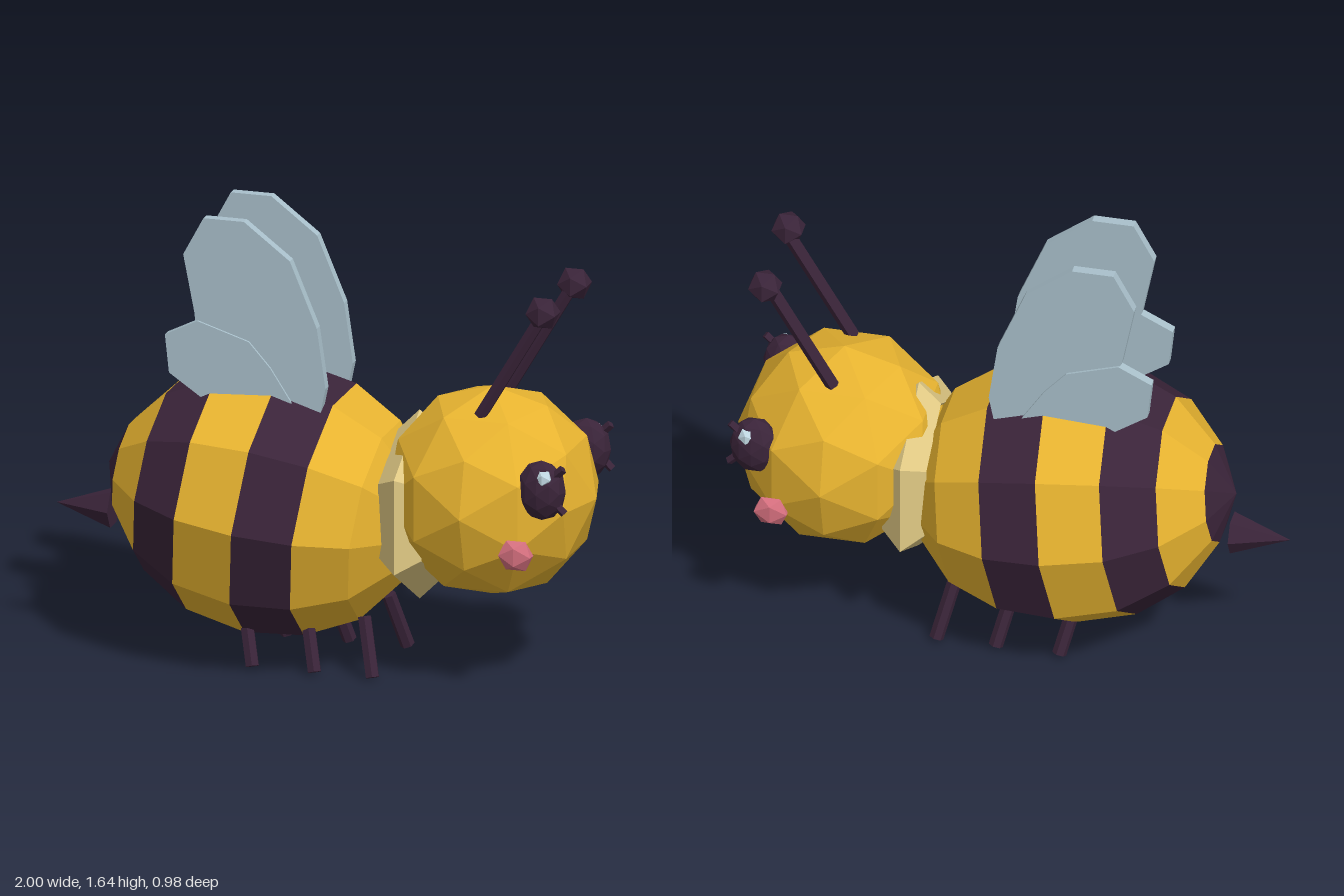
import * as THREE from 'three';

const mat = (name, color) => {
  const m = new THREE.MeshStandardMaterial({ color, flatShading: true });
  m.name = name;
  return m;
};

export function createModel() {
  const yellow = mat('honey yellow', 0xe8b430);
  const dark = mat('dark plum', 0x3a2439);
  const cream = mat('cream', 0xe0c984);
  const pink = mat('pink', 0xd6707f);
  const wingBlue = mat('wing blue', 0xa9c0cb);
  const glint = mat('eye glint', 0xc0d8e2);

  const bee = new THREE.Group();
  bee.name = 'bee';

  const add = (parent, name, geometry, material, x = 0, y = 0, z = 0) => {
    const mesh = new THREE.Mesh(geometry, material);
    mesh.name = name;
    mesh.position.set(x, y, z);
    parent.add(mesh);
    return mesh;
  };

  // Straight round rod between two points
  const rod = (parent, name, a, b, radius, sides, material) => {
    const from = new THREE.Vector3(...a), to = new THREE.Vector3(...b);
    const dir = to.clone().sub(from);
    const mesh = add(parent, name, new THREE.CylinderGeometry(radius, radius, dir.length(), sides), material);
    mesh.position.copy(from).add(to).multiplyScalar(0.5);
    mesh.quaternion.setFromUnitVectors(new THREE.Vector3(0, 1, 0), dir.normalize());
    return mesh;
  };

  // Striped body: one ten-sided band per ring, [along, radius]
  const body = new THREE.Group();
  body.name = 'body';
  body.position.set(-0.2, 0.575, 0);
  body.rotation.z = -0.123;
  bee.add(body);
  const rings = [[-0.61, 0], [-0.54, 0.18], [-0.405, 0.35], [-0.225, 0.453], [0, 0.488],
    [0.215, 0.455], [0.4, 0.36], [0.53, 0.19], [0.58, 0]];
  for (let i = 0; i < rings.length - 1; i++) {
    const points = [rings[i], rings[i + 1]].map(([y, r]) => new THREE.Vector2(r, y));
    const isDark = i === 0 || i === 2 || i === 4;
    add(body, isDark ? 'darkStripe' : 'yellowStripe',
      new THREE.LatheGeometry(points, 10).rotateZ(-Math.PI / 2), isDark ? dark : yellow);
  }

  // Stinger
  add(bee, 'stinger', new THREE.ConeGeometry(0.075, 0.21, 6).rotateZ(Math.PI / 2), dark, -0.895, 0.48, 0);

  // Faceted collar
  add(bee, 'collar',
    new THREE.TorusGeometry(0.27, 0.08, 4, 6).rotateZ(Math.PI / 2).rotateY(Math.PI / 2),
    cream, 0.345, 0.6, 0);

  // Head
  add(bee, 'head', new THREE.IcosahedronGeometry(0.385, 1).scale(1, 1, 1.02), yellow, 0.615, 0.68, 0);

  // Wing outlines seen from the side
  const wingPlate = (points, thickness) => {
    const shape = new THREE.Shape(points.map(([x, y]) => new THREE.Vector2(x, y)));
    return new THREE.ExtrudeGeometry(shape, { depth: thickness, bevelEnabled: false })
      .translate(0, 0, -thickness / 2);
  };
  const largeWing = wingPlate([[0.03, 0.94], [0.052, 1.05], [0.02, 1.27], [-0.08, 1.51], [-0.25, 1.64],
    [-0.4, 1.64], [-0.475, 1.5], [-0.43, 1.27], [-0.3, 1.05], [-0.15, 0.94]], 0.036);
  const smallWing = wingPlate([[-0.04, 0.94], [-0.15, 1.11], [-0.23, 1.2], [-0.42, 1.26], [-0.54, 1.2],
    [-0.525, 1.06], [-0.4, 0.975], [-0.25, 0.94]], 0.036);

  // Paired parts
  for (const s of [1, -1]) {
    const side = s > 0 ? 'left' : 'right';

    add(bee, side + 'LargeWing', largeWing, wingBlue, 0, 0, 0.16 * s);
    add(bee, side + 'SmallWing', smallWing, wingBlue, 0, 0, 0.169 * s);

    // Antenna with a faceted tip
    rod(bee, side + 'Antenna', [0.62, 1.0, 0.16 * s], [0.85, 1.39, 0.16 * s], 0.024, 6, dark);
    add(bee, side + 'AntennaTip', new THREE.IcosahedronGeometry(0.064, 0), dark, 0.86, 1.41, 0.185 * s);

    // Eye, lashes and glint
    const eye = new THREE.Group();
    eye.name = side + 'Eye';
    bee.add(eye);
    add(eye, 'eyeball', new THREE.IcosahedronGeometry(0.1, 1).scale(0.9, 1.1, 0.68),
      dark, 0.88, 0.78, 0.265 * s);
    rod(eye, 'upperLash', [0.87, 0.78, 0.28 * s], [0.965, 0.87, 0.28 * s], 0.016, 4, dark);
    rod(eye, 'lowerLash', [0.87, 0.8, 0.28 * s], [0.97, 0.705, 0.28 * s], 0.016, 4, dark);
    add(eye, 'eyeGlint', new THREE.IcosahedronGeometry(0.033, 0), glint, 0.9, 0.835, 0.3 * s);

    // Cheek
    add(bee, side + 'Cheek', new THREE.IcosahedronGeometry(0.07, 0).scale(1, 0.9, 0.5),
      pink, 0.805, 0.55, 0.33 * s);

    // Three legs on each side
    for (const [i, x] of [-0.21, 0.02, 0.235].entries()) {
      rod(bee, side + ['Back', 'Middle', 'Front'][i] + 'Leg',
        [x - 0.05, 0.21, 0.14 * s], [x, 0.008, 0.205 * s], 0.026, 6, dark);
    }
  }
  return bee;
}
